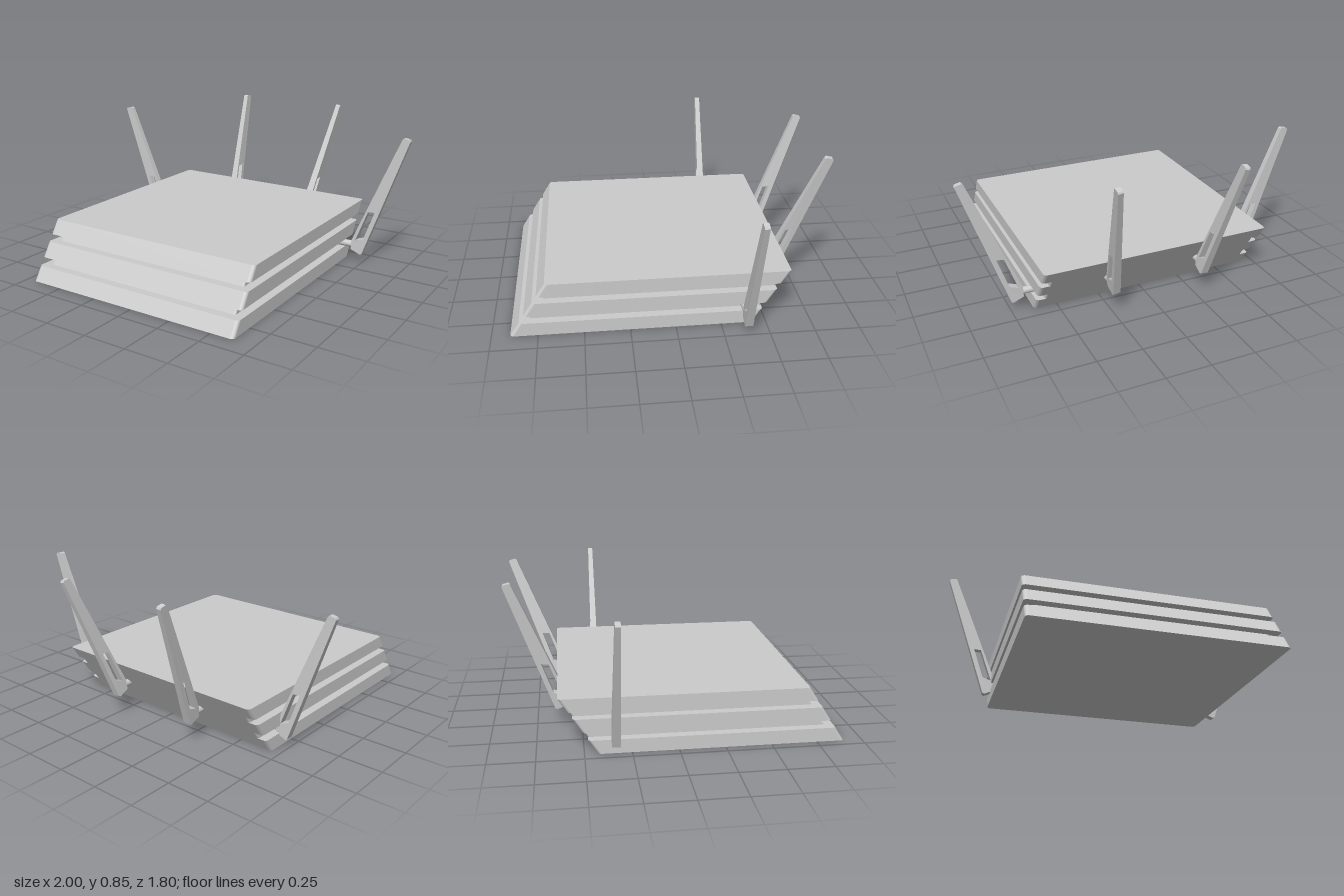
import * as THREE from 'three';

const material = new THREE.MeshStandardMaterial({ color: 0xcccccc });
const SHEAR = -0.2 / 0.312; // backward lean of the housing, z per y
const CENTRE_X = -0.035;

// Rounded rectangle slab spanning x, z and y ranges, leaning backwards
function slab(name, halfWidth, back, front, y0, y1, r) {
  const w = halfWidth, a = -front, b = -back; // shape y becomes -z
  const s = new THREE.Shape();
  s.moveTo(-w + r, a);
  s.lineTo(w - r, a);
  s.absarc(w - r, a + r, r, -Math.PI / 2, 0);
  s.absarc(w - r, b - r, r, 0, Math.PI / 2);
  s.absarc(-w + r, b - r, r, Math.PI / 2, Math.PI);
  s.absarc(-w + r, a + r, r, Math.PI, Math.PI * 1.5);
  const g = new THREE.ExtrudeGeometry(s, { depth: y1 - y0, bevelEnabled: false, curveSegments: 5 });
  g.rotateX(-Math.PI / 2);
  g.translate(CENTRE_X, y0, 0);
  g.applyMatrix4(new THREE.Matrix4().set(1, 0, 0, 0, 0, 1, 0, 0, 0, SHEAR, 1, 0, 0, 0, 0, 1));
  const mesh = new THREE.Mesh(g, material);
  mesh.name = name;
  return mesh;
}

// Slotted paddle antenna: pivot axis at the origin, leaning towards +x
function antenna(name) {
  const group = new THREE.Group();
  group.name = name;

  const points = (list) => list.map(([x, y]) => new THREE.Vector2(x, y));
  const outline = new THREE.Shape(points([
    [-0.024, -0.027], [0.034, -0.052], [0.046, -0.047], [0.298, 0.668],
    [0.294, 0.678], [0.262, 0.686], [0.253, 0.68], [-0.022, 0.03],
  ]));
  outline.holes.push(new THREE.Path(points([
    [0.002, 0.033], [0.073, 0.222], [0.114, 0.225], [0.052, 0.05],
  ])));
  const thickness = 0.044;
  const g = new THREE.ExtrudeGeometry(outline, { depth: thickness, bevelEnabled: false });
  g.translate(0, 0, -thickness / 2);
  // Thin the paddle towards its tip
  const p = g.attributes.position;
  for (let i = 0; i < p.count; i++) {
    p.setZ(i, p.getZ(i) * (1 - 0.35 * Math.max(0, p.getY(i)) / 0.68));
  }
  g.computeVertexNormals();
  const paddle = new THREE.Mesh(g, material);
  paddle.name = 'antennaPaddle';

  // Hinge pin running into the housing
  const pinGeometry = new THREE.CylinderGeometry(0.02, 0.02, 0.12, 20);
  pinGeometry.rotateZ(Math.PI / 2);
  pinGeometry.translate(-0.055, 0, 0);
  const pin = new THREE.Mesh(pinGeometry, material);
  pin.name = 'antennaHinge';

  group.add(paddle, pin);
  return group;
}

export function createModel() {
  const model = new THREE.Group();
  model.name = 'router';

  // Three stacked housing layers
  const layers = [[0, 0.077], [0.12, 0.198], [0.237, 0.312]];
  layers.forEach(([y0, y1], i) => {
    model.add(slab(`housingLayer${i + 1}`, 0.665, -0.43, 0.9, y0, y1, 0.02));
  });

  // Recessed core showing in the grooves, flush at the back
  for (let i = 0; i < 2; i++) {
    model.add(slab(`grooveCore${i + 1}`, 0.615, -0.43, 0.85, layers[i][1], layers[i + 1][0], 0.01));
  }

  // Antennas: position, heading and sideways roll
  const placements = [
    ['leftAntenna', [0.7, 0.1, -0.382], 0, 0],
    ['rightAntenna', [-0.7, 0.1, -0.336], Math.PI, 0],
    ['rearLeftAntenna', [0.24, 0.165, -0.6], Math.PI / 2, -0.135],
    ['rearRightAntenna', [-0.307, 0.165, -0.6], Math.PI / 2, 0.087],
  ];
  for (const [name, position, heading, roll] of placements) {
    const a = antenna(name);
    a.position.set(...position);
    a.rotation.set(0, heading, roll, 'ZYX');
    model.add(a);
  }
  return model;
}
